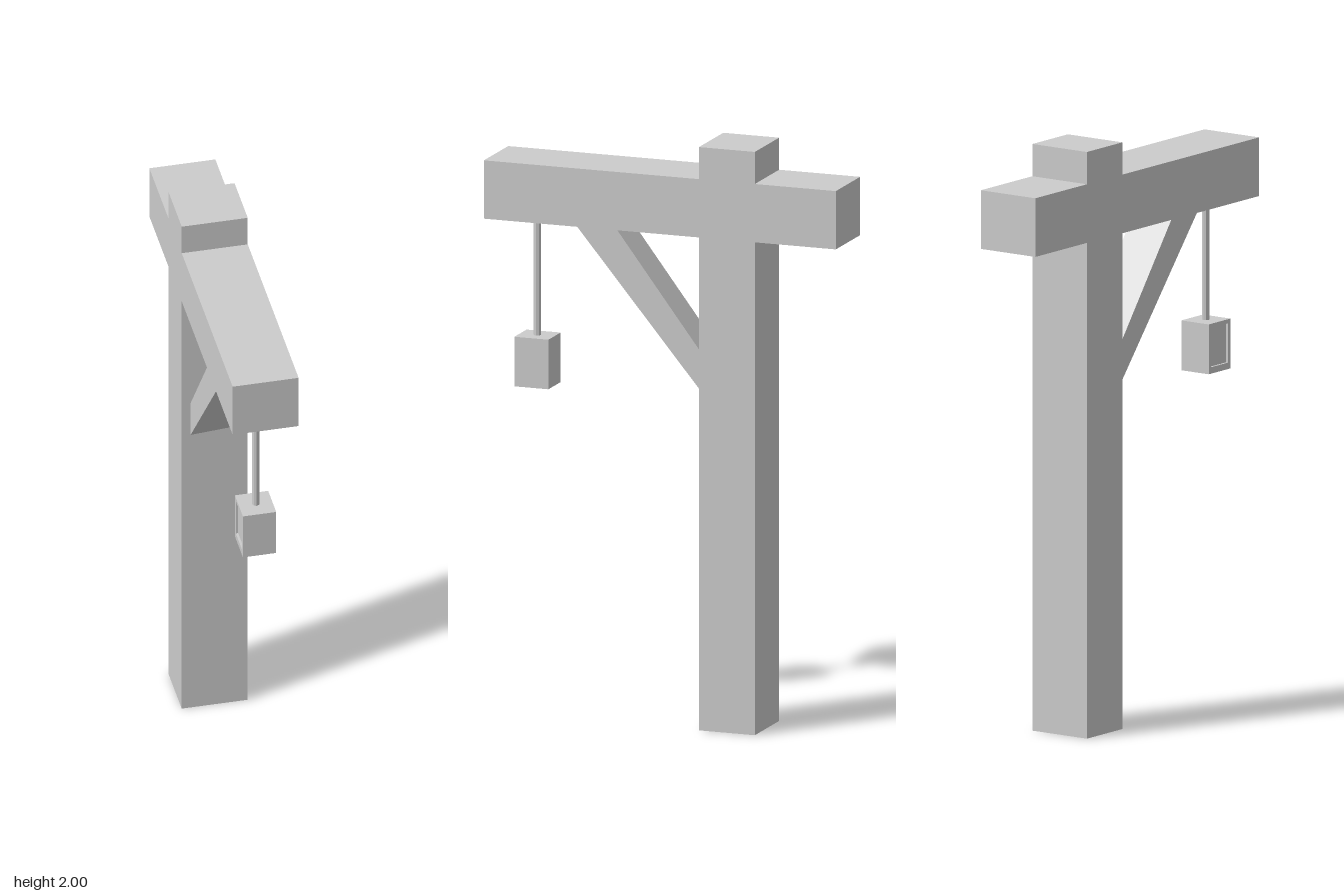
import * as THREE from 'three';

const material = new THREE.MeshStandardMaterial({ color: 0xcccccc, flatShading: true });

function part(name, geometry, x = 0, y = 0, z = 0) {
  const mesh = new THREE.Mesh(geometry, material);
  mesh.name = name;
  mesh.position.set(x, y, z);
  return mesh;
}

// Extrudes a side profile of [z, y] points across x, centred on x = 0.
function sideProfile(points, width) {
  const shape = new THREE.Shape(points.map(([z, y]) => new THREE.Vector2(z, y)));
  return new THREE.ExtrudeGeometry(shape, { depth: width, bevelEnabled: false })
    .translate(0, 0, -width / 2)
    .rotateY(-Math.PI / 2);
}

// Flat rectangular frame in the xy plane.
function frame(width, height, border, depth) {
  const rect = (target, w, h) => target
    .moveTo(-w / 2, -h / 2).lineTo(w / 2, -h / 2)
    .lineTo(w / 2, h / 2).lineTo(-w / 2, h / 2).closePath();
  const shape = rect(new THREE.Shape(), width, height);
  shape.holes.push(rect(new THREE.Path(), width - 2 * border, height - 2 * border));
  return new THREE.ExtrudeGeometry(shape, { depth, bevelEnabled: false })
    .translate(0, 0, -depth / 2);
}

export function createModel() {
  const model = new THREE.Group();
  model.name = 'lanternPost';

  // Post and crossbeam form one continuous cross
  const back = -0.34, front = -0.14, low = 1.69, high = 1.89, end = 0.63;
  model.add(part('postAndBeam', sideProfile([
    [back, 0], [front, 0], [front, low], [end, low], [end, high], [front, high],
    [front, 2], [back, 2], [back, high], [-end, high], [-end, low], [back, low],
  ], 0.226)));

  // Diagonal brace, rolled slightly and let into post and beam
  const brace = sideProfile([[-0.2, 1.065], [0.38, 1.755], [0.226, 1.75], [-0.2, 1.19]], 0.153);
  const p = brace.attributes.position;
  for (let i = 0; i < p.count; i++) p.setY(i, p.getY(i) + 0.07 * p.getX(i));
  brace.computeVertexNormals();
  model.add(part('brace', brace, -0.006));

  // Hanging rod
  const hangZ = 0.482;
  model.add(part('hangingRod', new THREE.CylinderGeometry(0.013, 0.013, 0.4, 8), 0, 1.48, hangZ));

  // Lantern: solid core with a recessed panel on its side and underside
  const lantern = new THREE.Group();
  lantern.name = 'lantern';
  lantern.position.set(-0.001, 1.195, hangZ);
  const w = 0.114, h = 0.17, d = 0.122, inset = 0.008;
  lantern.add(part('lanternBody',
    new THREE.BoxGeometry(w - inset, h - inset, d), inset / 2, inset / 2, 0));
  lantern.add(part('sideFrame',
    frame(d, h - inset, 0.014, inset).rotateY(Math.PI / 2), -w / 2 + inset / 2, inset / 2, 0));
  lantern.add(part('bottomFrame',
    frame(w, d, 0.008, inset).rotateX(Math.PI / 2), 0, -h / 2 + inset / 2, 0));
  model.add(lantern);

  return model;
}
